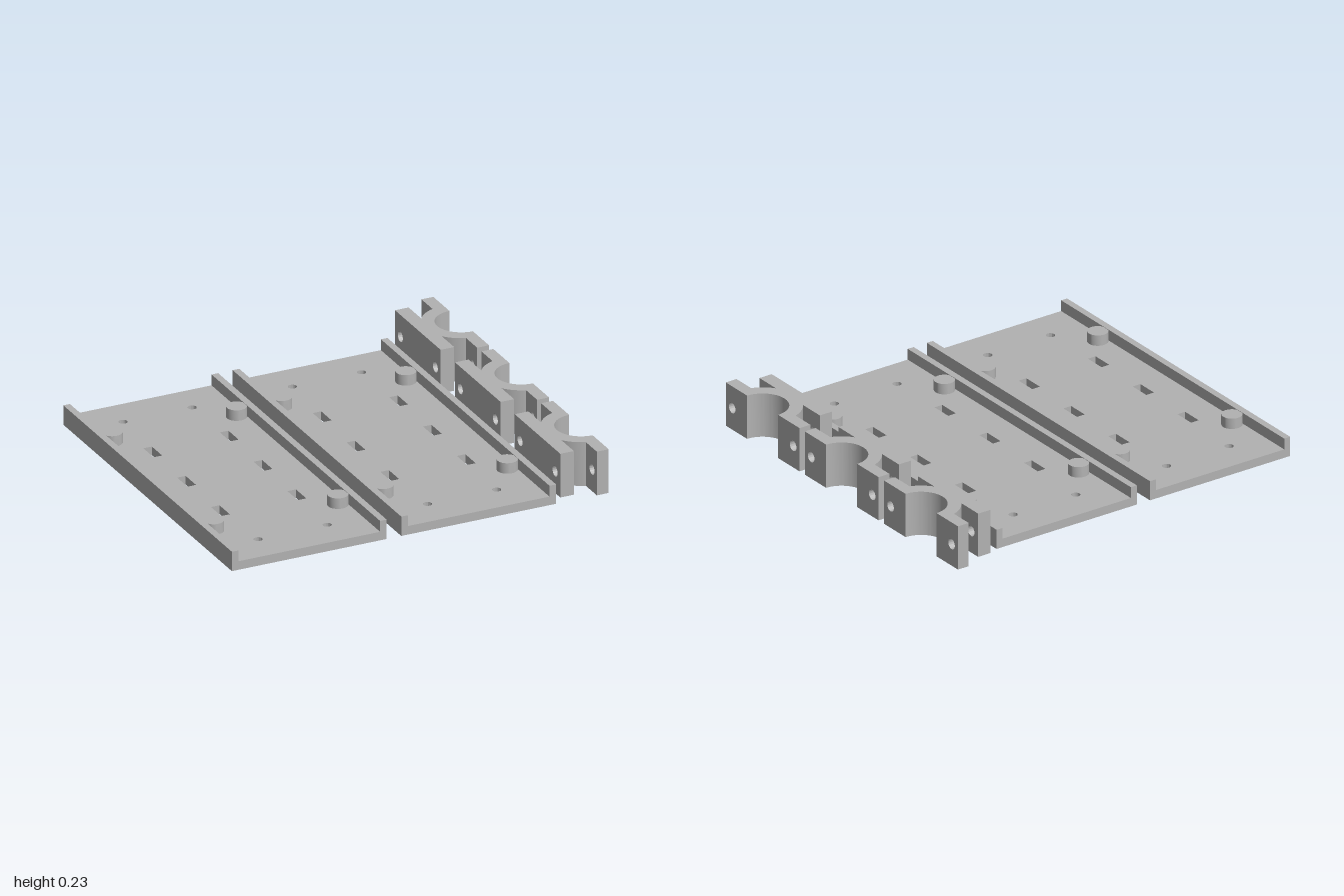
import * as THREE from 'three';
import { toCreasedNormals } from 'three/addons/utils/BufferGeometryUtils.js';

const grey = new THREE.MeshStandardMaterial({ color: 0xb2b2b2 });
grey.name = 'grey plastic';

const rect = (Type, x, y, w, h) => new Type([
  [x - w / 2, y - h / 2], [x + w / 2, y - h / 2], [x + w / 2, y + h / 2], [x - w / 2, y + h / 2],
].map(([a, b]) => new THREE.Vector2(a, b)));

const circleHole = (x, y, r) => new THREE.Path().absarc(x, y, r, 0, Math.PI * 2, true);

function addMesh(group, name, geometry) {
  const mesh = new THREE.Mesh(geometry, grey);
  mesh.name = name;
  group.add(mesh);
  return mesh;
}

const extrude = (shape, depth) => toCreasedNormals(
  new THREE.ExtrudeGeometry(shape, { depth, bevelEnabled: false, curveSegments: 24 }), 0.6);

// Shape in (x, z), standing on the ground with the given height
const extrudeUp = (shape, height) =>
  extrude(shape, height).rotateX(Math.PI / 2).translate(0, height, 0);

// Shape in (z, y), running from x0 to x1
const extrudeAcross = (shape, x0, x1) =>
  extrude(shape, x1 - x0).rotateY(Math.PI / 2).translate(x0, 0, 0);

// Flat tray with side rails, screw holes, slots and hollow posts
function createPlate() {
  const plate = new THREE.Group();
  const W = 0.822, L = 1.83, T = 0.045, H = 0.102, RAIL = 0.035;
  const zMid = 0.035;
  const base = rect(THREE.Shape, W / 2, zMid, W, L);
  for (const x of [0.228, 0.595])
    for (const s of [-1, 1]) base.holes.push(circleHole(x, zMid + s * 0.733, 0.022));
  for (const x of [0.207, 0.613])
    for (const s of [-1, 0, 1]) base.holes.push(rect(THREE.Path, x, zMid + s * 0.367, 0.045, 0.112));

  const postProfile = [[0, 0.075], [0.038, 0.075], [0.038, T], [0.051, T], [0.051, 0.1], [0, 0.1]]
    .map(([r, y]) => new THREE.Vector2(r, y));
  const postGeometry = toCreasedNormals(new THREE.LatheGeometry(postProfile, 32), 0.6);
  for (const x of [0.081, 0.741]) {
    for (const s of [-1, 1]) {
      const z = zMid + s * 0.55;
      base.holes.push(circleHole(x, z, 0.038));
      addMesh(plate, 'post', postGeometry).position.set(x, 0, z);
    }
  }
  addMesh(plate, 'base', extrudeUp(base, T));

  for (const x of [RAIL / 2, W - RAIL / 2]) {
    const rail = addMesh(plate, 'rail', new THREE.BoxGeometry(RAIL, H - T, L));
    rail.position.set(x, (H + T) / 2, zMid);
  }
  return plate;
}

// Half-round clamp: back bar, arch and two drilled ears
function createClamp() {
  const clamp = new THREE.Group();
  const H = 0.23, INNER = 0.127, OUTER = 0.193;

  const bar = rect(THREE.Shape, 0, H / 2, 0.495, H);
  for (const s of [-1, 1]) bar.holes.push(circleHole(s * 0.19, H / 2, 0.027));
  addMesh(clamp, 'backBar', extrudeAcross(bar, 0.77, 0.842));

  const arch = new THREE.Shape();
  arch.absarc(1, 0, OUTER, Math.PI / 2, Math.PI * 1.5, false);
  arch.absarc(1, 0, INNER, Math.PI * 1.5, Math.PI / 2, true);
  arch.closePath();
  addMesh(clamp, 'arch', extrudeUp(arch, H));

  for (const s of [-1, 1]) {
    const ear = rect(THREE.Shape, s * 0.2275, H / 2, 0.15, H);
    ear.holes.push(circleHole(s * 0.25, H / 2, 0.027));
    addMesh(clamp, 'ear', extrudeAcross(ear, 0.937, 1));
  }
  return clamp;
}

export function createModel() {
  const model = new THREE.Group();
  model.name = 'mountingKit';

  [-1, -0.101].forEach((x) => {
    const plate = createPlate();
    plate.name = 'plate';
    plate.position.x = x;
    model.add(plate);
  });

  [-0.651, 0, 0.648].forEach((z) => {
    const clamp = createClamp();
    clamp.name = 'clamp';
    clamp.position.z = z;
    model.add(clamp);
  });
  return model;
}
